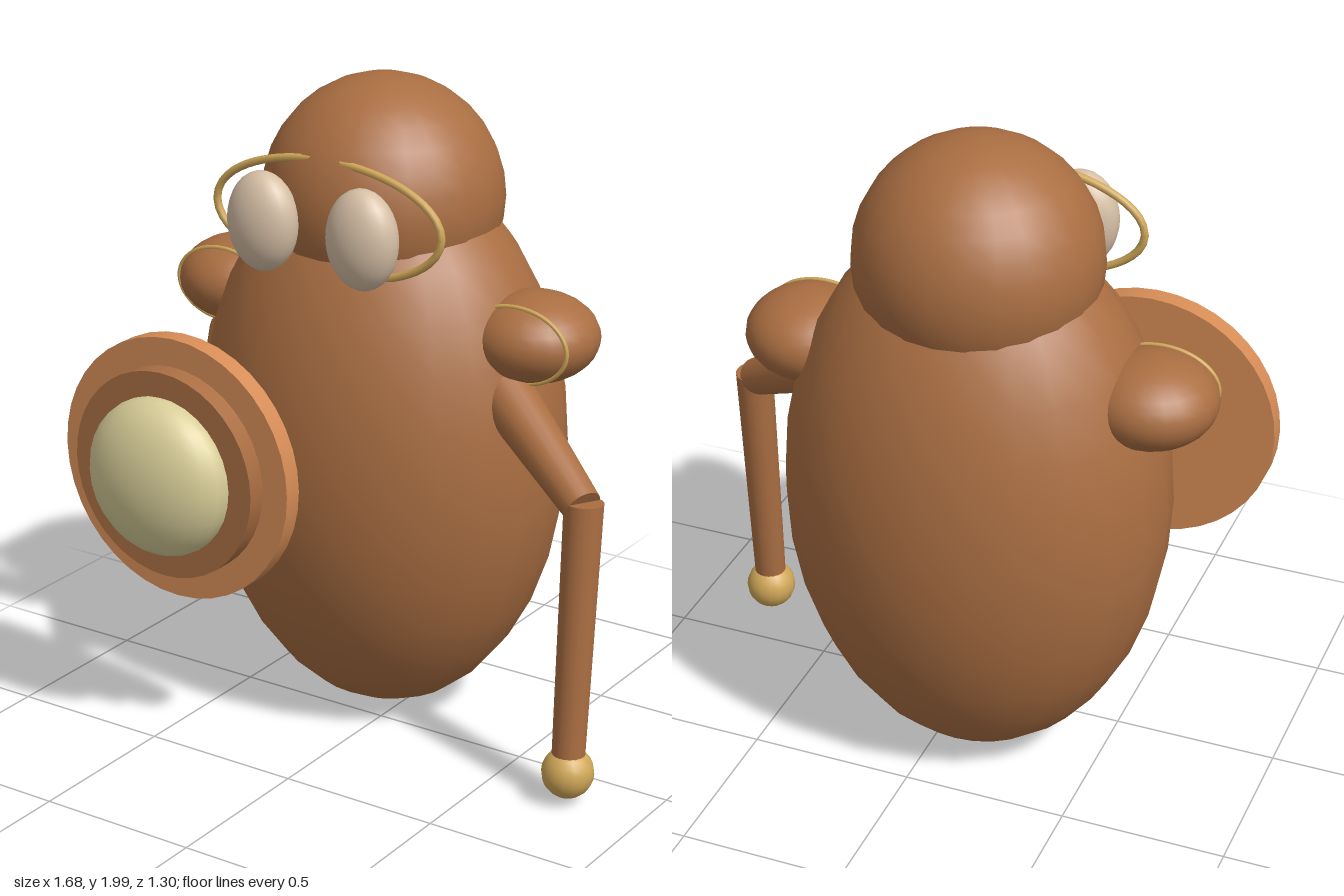
import * as THREE from 'three';

const mat = (name, color) => {
  const m = new THREE.MeshStandardMaterial({ color });
  m.name = name;
  return m;
};

export function createModel() {
  const brown = mat('brown', 0xaa6e42);
  const orange = mat('orange brown', 0xd68c56);
  const cream = mat('pale yellow', 0xd8cd98);
  const eyeWhite = mat('warm white', 0xd6bfa6);
  const gold = mat('gold', 0xd0a758);

  const group = new THREE.Group();
  const CX = -0.095; // body axis
  const CZ = -0.16;

  const add = (name, geometry, material) => {
    const mesh = new THREE.Mesh(geometry, material);
    mesh.name = name;
    group.add(mesh);
    return mesh;
  };

  const ellipsoid = (name, material, pos, radii, w = 24, h = 16) => {
    const mesh = add(name, new THREE.SphereGeometry(1, w, h), material);
    mesh.position.set(...pos);
    mesh.scale.set(...radii);
    return mesh;
  };

  // Tapered cylinder between two points
  const limb = (name, material, from, to, r0, r1) => {
    const a = new THREE.Vector3(...from);
    const b = new THREE.Vector3(...to);
    const dir = b.clone().sub(a);
    const mesh = add(name, new THREE.CylinderGeometry(r1, r0, dir.length(), 20), material);
    mesh.position.copy(a).add(b).multiplyScalar(0.5);
    mesh.quaternion.setFromUnitVectors(new THREE.Vector3(0, 1, 0), dir.normalize());
    return mesh;
  };

  // Elliptical ring standing in the xy plane
  const ring = (name, pos, rx, ry, tube) => {
    const points = [];
    for (let i = 0; i < 24; i++) {
      const t = (i / 24) * Math.PI * 2;
      points.push(new THREE.Vector3(Math.cos(t) * rx, Math.sin(t) * ry, 0));
    }
    const path = new THREE.CatmullRomCurve3(points, true);
    const mesh = add(name, new THREE.TubeGeometry(path, 64, tube, 8, true), gold);
    mesh.position.set(...pos);
    return mesh;
  };

  // Disc facing forward
  const disc = (name, material, radius, z0, z1) => {
    const mesh = add(name, new THREE.CylinderGeometry(radius, radius, z1 - z0, 40), material);
    mesh.rotation.x = Math.PI / 2;
    mesh.position.set(-0.433, 0.883, (z0 + z1) / 2);
    return mesh;
  };

  // Body and head
  ellipsoid('body', brown, [CX, 0.882, CZ], [0.585, 0.875, 0.49]);
  ellipsoid('head', brown, [CX, 1.637, CZ], [0.363, 0.363, 0.361]);
  ring('headBand', [CX, 1.632, 0.14], 0.392, 0.172, 0.012);

  // Eyes, shoulders and shoulder trims on both sides
  for (const [side, s] of [['left', 1], ['right', -1]]) {
    ellipsoid(side + 'Eye', eyeWhite, [CX + s * 0.173, 1.615, 0.215], [0.115, 0.15, 0.08]);
    ellipsoid(side + 'Shoulder', brown, [CX + s * 0.525, 1.288, CZ], [0.195, 0.133, 0.195]);
    ring(side + 'ShoulderTrim', [CX + s * 0.525, 1.288, -0.058], 0.167, 0.114, 0.007);
  }

  // Left arm hanging down to a round hand
  limb('leftUpperArm', brown, [0.35, 1.16, -0.08], [0.755, 0.915, 0.11], 0.09, 0.058);
  limb('leftForearm', brown, [0.76, 0.93, 0.11], [0.76, 0.13, 0.165], 0.058, 0.049);
  ellipsoid('leftHand', gold, [0.76, 0.103, 0.165], [0.078, 0.078, 0.078], 16, 12);

  // Right arm reaching forward behind the shield
  limb('rightUpperArm', brown, [-0.58, 1.14, -0.08], [-0.37, 0.905, 0.33], 0.09, 0.075);

  // Stepped round shield with a domed centre
  disc('shieldRim', orange, 0.406, 0.39, 0.45);
  disc('shieldInnerDisc', brown, 0.32, 0.45, 0.51);
  ellipsoid('shieldDome', cream, [-0.433, 0.883, 0.52], [0.244, 0.244, 0.13]);

  return group;
}
